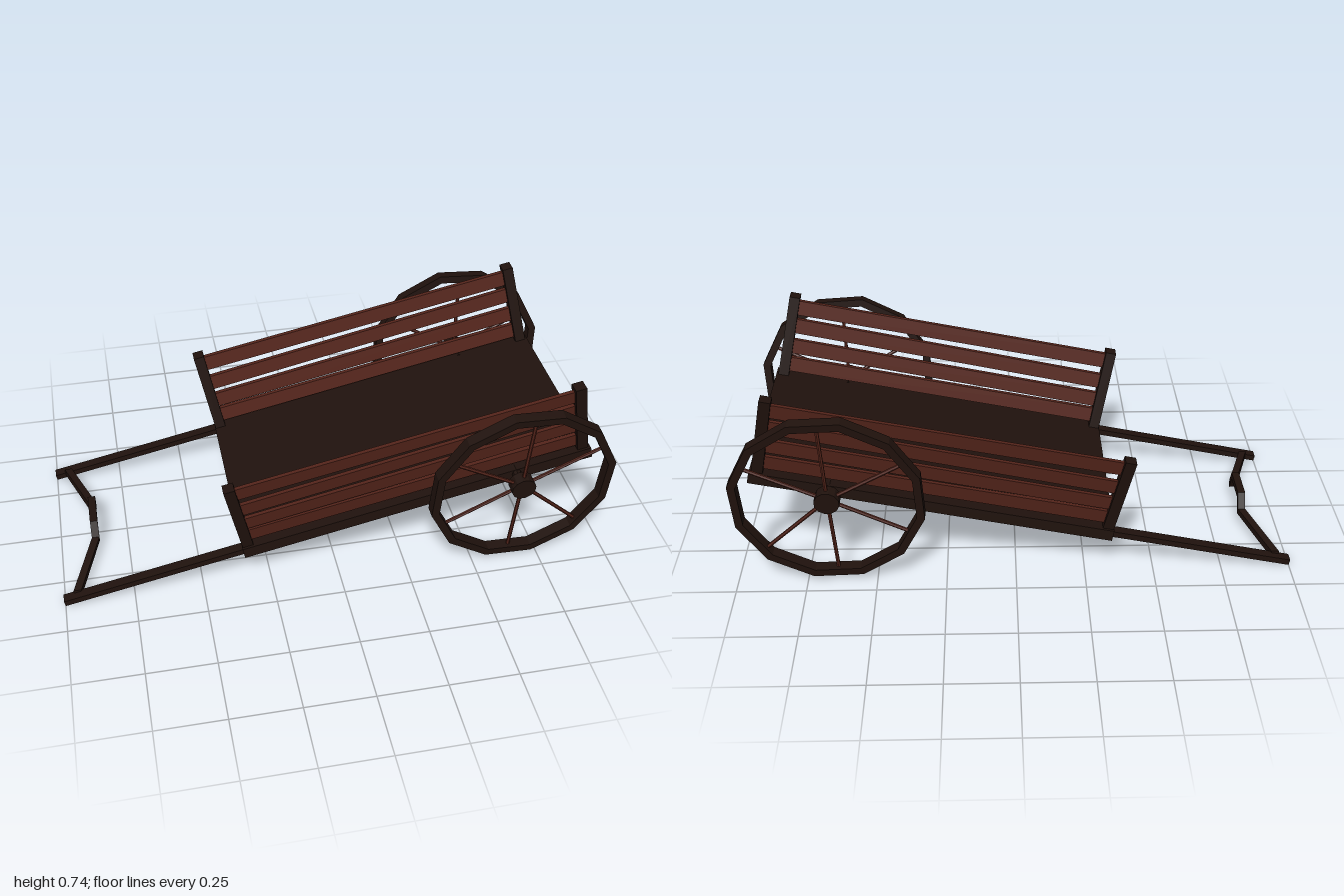
import * as THREE from 'three';

const dark = new THREE.MeshStandardMaterial({ color: 0x20120d, flatShading: true });
const brown = new THREE.MeshStandardMaterial({ color: 0x54241a, flatShading: true });

const TILT = 0.2055;   // the cart rests on its shafts
const LEAN = 0.17;     // outward lean of the side panels
const CAMBER = 0.1;    // outward lean of the wheels

function add(parent, name, geometry, material, x = 0, y = 0, z = 0) {
  const mesh = new THREE.Mesh(geometry, material);
  mesh.name = name;
  mesh.position.set(x, y, z);
  parent.add(mesh);
  return mesh;
}

// Box whose z follows its height, so its top and bottom stay level
function leaningBox(w, h, d, slope) {
  const g = new THREE.BoxGeometry(w, h, d);
  const p = g.attributes.position;
  for (let i = 0; i < p.count; i++) p.setZ(i, p.getZ(i) + slope * p.getY(i));
  g.computeVertexNormals();
  return g;
}

// Two posts and four slats on one side
function makeSide(s) {
  const side = new THREE.Group();
  side.name = s > 0 ? 'leftSidePanel' : 'rightSidePanel';
  const zAt = v => s * (0.355 + LEAN * (v - 0.03));
  for (const u of [0.022, 1.282])
    add(side, 'post', leaningBox(0.04, 0.355, 0.046, s * LEAN), dark, u, 0.18, zAt(0.18));
  // height of each slat and its slight misalignment
  const slats = [[0.315, -0.004], [0.235, 0.008], [0.155, 0.004], [0.085, -0.002]];
  for (const [v, skew] of slats) {
    const slat = add(side, 'slat', leaningBox(1.26, 0.056, 0.016, s * LEAN), brown, 0.652, v, zAt(v));
    slat.rotation.z = skew;
  }
  return side;
}

// Twelve-sided rim, six spokes and a hub
function makeWheel(s) {
  const wheel = new THREE.Group();
  wheel.name = s > 0 ? 'leftWheel' : 'rightWheel';
  const R = 0.345, r = 0.316, width = 0.043;
  const ring = radius => Array.from({ length: 12 }, (_, i) => new THREE.Vector2(
    radius * Math.cos(i * Math.PI / 6), radius * Math.sin(i * Math.PI / 6)));
  const shape = new THREE.Shape(ring(R));
  shape.holes.push(new THREE.Path(ring(r).reverse()));
  const rim = new THREE.ExtrudeGeometry(shape, { depth: width, bevelEnabled: false });
  rim.translate(0, 0, -width / 2);
  add(wheel, 'rim', rim, dark);
  for (const deg of [14, 76, 138, 195, 255, 305]) {
    const spoke = new THREE.CylinderGeometry(0.007, 0.007, 0.32, 6);
    spoke.translate(0, 0.16, 0);
    add(wheel, 'spoke', spoke, brown).rotation.z = THREE.MathUtils.degToRad(deg - 90);
  }
  const hub = new THREE.CylinderGeometry(0.045, 0.045, 0.046, 12);
  add(wheel, 'hub', hub.rotateX(Math.PI / 2), dark);
  const axle = new THREE.CylinderGeometry(0.018, 0.018, 0.09, 8);
  add(wheel, 'axle', axle.rotateX(Math.PI / 2), dark, 0, 0, -s * 0.045);
  wheel.rotation.x = s * CAMBER;
  return wheel;
}

// Cranked crossbar: outline across the cart, swept forward toward its middle
function makeHandle() {
  const upper = [[0.35, 0.036], [0.1, 0.055], [0.072, 0.111]];
  const lower = [[0.062, 0.087], [0.092, 0.03], [0.35, 0.01]];
  const half = [...upper.map(p => [-p[0], p[1]]), ...upper.slice().reverse()];
  const under = [...lower.slice().reverse(), ...lower.map(p => [-p[0], p[1]])];
  under.sort((a, b) => b[0] - a[0]);
  const outline = [...half, ...under].map(p => new THREE.Vector2(p[0], p[1]));
  const g = new THREE.ExtrudeGeometry(new THREE.Shape(outline), { depth: 0.028, bevelEnabled: false });
  g.rotateY(Math.PI / 2);
  const p = g.attributes.position;
  for (let i = 0; i < p.count; i++) {
    const sweep = Math.max(0, (Math.abs(p.getZ(i)) - 0.1) / 0.25);
    p.setX(i, p.getX(i) - 0.884 - 0.083 * sweep);
  }
  g.computeVertexNormals();
  return g;
}

export function createModel() {
  const model = new THREE.Group();
  model.name = 'handCart';

  // Body in its own tilted frame: x along the bed, y square to it
  const body = new THREE.Group();
  body.name = 'body';
  body.position.set(-0.345, 0.121, -0.005);
  body.rotation.z = TILT;
  model.add(body);
  add(body, 'bed', new THREE.BoxGeometry(1.31, 0.042, 0.78), dark, 0.655, 0.021, 0);

  for (const s of [1, -1]) {
    body.add(makeSide(s));
    add(body, 'shaft', new THREE.BoxGeometry(0.69, 0.022, 0.038), dark, -0.322, 0.021, s * 0.36);
    const wheel = makeWheel(s);
    wheel.position.set(1.027, 0.018, s * 0.446 + 0.004);
    body.add(wheel);
  }

  add(model, 'handle', makeHandle(), dark, 0, 0, -0.005);
  return model;
}
